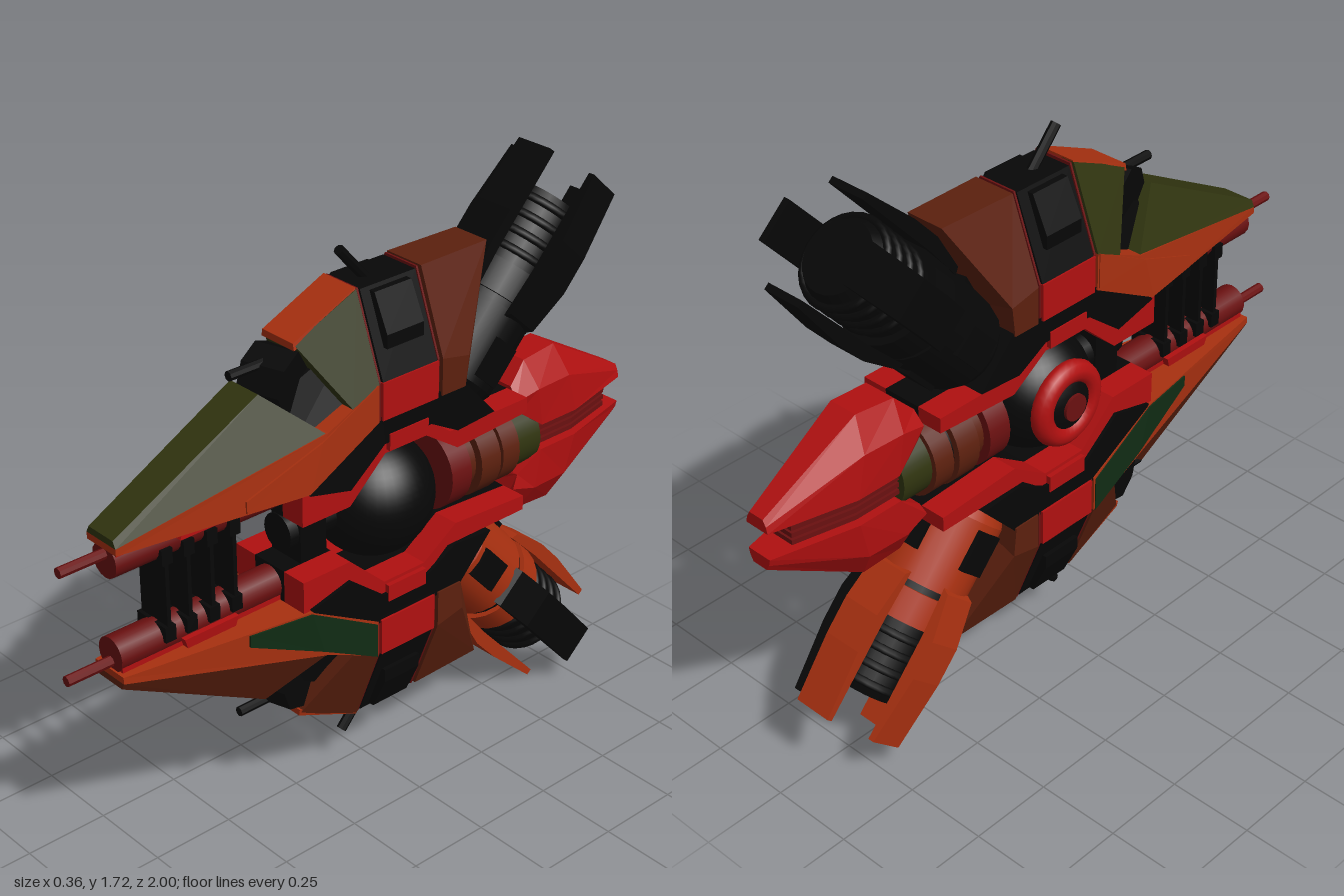
import * as THREE from 'three';

const C = { red: 0xb01010, darkRed: 0x6a1010, orange: 0xa83010, rust: 0x5c200e, olive: 0x30340f,
  green: 0x102c14, black: 0x070707 };

function add(parent, name, geometry, color, flat = true) {
  const mesh = new THREE.Mesh(geometry, new THREE.MeshStandardMaterial({ color, flatShading: flat }));
  mesh.name = name;
  parent.add(mesh);
  return mesh;
}

const box = (w, h, d, x, y, z) => new THREE.BoxGeometry(w, h, d).translate(x, y, z);

// Cylinder along z from z0 (front) to z1 (back)
const rodZ = (r, z0, z1, y = 0, sides = 16) =>
  new THREE.CylinderGeometry(r, r, Math.abs(z0 - z1), sides).rotateX(Math.PI / 2).translate(0, y, (z0 + z1) / 2);

// Side profile of [z, y] points extruded across x
function extrudeX(points, x0, x1) {
  const shape = new THREE.Shape(points.map(p => new THREE.Vector2(p[0], p[1])));
  return new THREE.ExtrudeGeometry(shape, { depth: x1 - x0, bevelEnabled: false })
    .rotateY(-Math.PI / 2).translate(x1, 0, 0);
}

// Solid through mirrored sections, ordered front to back; each row is [z, y, half width], bottom to top
function loft(sections) {
  const n = sections[0].length * 2, pos = [], idx = [];
  for (const rows of sections) {
    for (const [z, y, x] of rows) pos.push(x, y, z);
    for (const [z, y, x] of [...rows].reverse()) pos.push(-x, y, z);
  }
  const last = (sections.length - 1) * n;
  for (let s = 0; s < last; s += n)
    for (let i = 0; i < n; i++) {
      const a = s + i, b = s + (i + 1) % n;
      idx.push(a, a + n, b + n, a, b + n, b);
    }
  for (let i = 1; i < n - 1; i++) idx.push(0, i, i + 1, last, last + i + 1, last + i);
  const g = new THREE.BufferGeometry();
  g.setAttribute('position', new THREE.Float32BufferAttribute(pos, 3));
  g.setIndex(idx);
  g.computeVertexNormals();
  return g;
}

// Engine along local y with four guard fins around a ribbed core
function thruster(main, trim, patch) {
  const g = new THREE.Group();
  g.name = 'thruster';
  const cyl = (name, r0, r1, t0, t1, color) =>
    add(g, name, new THREE.CylinderGeometry(r1, r0, t1 - t0, 24).translate(0, (t0 + t1) / 2, 0), color, false);
  cyl('engineBase', 0.125, 0.14, -0.03, 0, main);
  cyl('engineBody', 0.14, 0.14, 0, 0.22, main);
  cyl('engineGroove', 0.132, 0.132, 0.22, 0.24, C.black);
  cyl('engineCollar', 0.146, 0.143, 0.24, 0.33, trim);
  cyl('engineCore', 0.122, 0.118, 0.33, 0.52, C.black);
  cyl('engineMouth', 0.118, 0.1, 0.52, 0.555, C.black);
  for (const t of [0.37, 0.42, 0.47, 0.52])
    add(g, 'coreRing', new THREE.TorusGeometry(0.12, 0.012, 8, 28).rotateX(Math.PI / 2).translate(0, t, 0),
      C.black, false);
  const fin = [[0.13, 0.2], [0.15, 0.21], [0.178, 0.34], [0.178, 0.45], [0.157, 0.65], [0.138, 0.65],
    [0.138, 0.5], [0.138, 0.34]];
  for (let i = 0; i < 4; i++) {
    add(g, 'guardFin', extrudeX(fin, -0.06, 0.06), i === 1 ? C.black : trim).rotation.y = i * Math.PI / 2;
    add(g, 'enginePanel', box(0.09, 0.12, 0.02, 0, 0.08, 0.136), patch).rotation.y = i * Math.PI / 2;
  }
  g.position.set(0, 0.272, -0.315);
  g.rotation.x = -0.741;
  return g;
}

// Upper half, measured from the centre line; the lower half is the same, flipped
function hullHalf(name, p) {
  const g = new THREE.Group();
  g.name = name;

  // Nose: lower flank and upper canopy
  add(g, 'noseFlank', loft([
    [[0.866, 0.18, 0.06], [0.866, 0.2, 0.06]],
    [[0.31, 0.18, 0.15], [0.25, 0.34, 0.152]],
    [[0.075, 0.31, 0.155], [0.075, 0.42, 0.155]]]), p.flank);
  add(g, 'noseCanopy', loft([
    [[0.866, 0.2, 0.06], [0.866, 0.22, 0.05]],
    [[0.25, 0.335, 0.15], [0.4, 0.466, 0.055]]]), p.canopy);
  add(g, 'shoulderArmour', loft([
    [[0.165, 0.378, 0.153], [0.283, 0.568, 0.06]],
    [[0.075, 0.42, 0.155], [0.075, 0.66, 0.065]]]), p.shoulder);
  add(g, 'shoulderPlate', loft([
    [[0.286, 0.552, 0.064], [0.286, 0.572, 0.06]],
    [[0.075, 0.64, 0.068], [0.075, 0.664, 0.062]]]), C.orange);
  add(g, 'sidePatch', loft([
    [[0.5, 0.185, 0.124], [0.5, 0.22, 0.123]],
    [[0.31, 0.185, 0.154], [0.27, 0.32, 0.155]],
    [[0.08, 0.315, 0.158], [0.08, 0.42, 0.158]]]), p.patch);

  // Forward gun set into the notch
  add(g, 'gunBay', loft([
    [[0.35, 0.28, 0.1], [0.35, 0.43, 0.055]],
    [[0.1, 0.34, 0.14], [0.1, 0.54, 0.07]]]), C.black);
  add(g, 'gunTurret', new THREE.CylinderGeometry(0.095, 0.095, 0.13, 8).rotateX(0.3)
    .rotateZ(Math.PI / 2).translate(0, 0.45, 0.29), C.black);
  add(g, 'gunBarrel', rodZ(0.014, 0.45, 0.3, 0.513, 8), C.black);

  // Middle band with a mast
  add(g, 'middleBand', loft([0.06, -0.135].map(z =>
    [[z, 0.3, 0.15], [z, 0.42, 0.152], [z, 0.655, 0.062]])), C.black);
  add(g, 'middlePlate', box(0.314, 0.11, 0.2, 0, 0.365, -0.037), C.red);
  add(g, 'mastHousing', loft([0.03, -0.1].map(z =>
    [[z, 0.5, 0.135], [z, 0.54, 0.135], [z, 0.645, 0.085]])), C.black);
  const mast = add(g, 'mast', new THREE.CylinderGeometry(0.015, 0.015, 0.2, 8), C.black);
  mast.position.set(0, 0.675, 0.01);
  mast.rotation.x = 0.73;
  for (const z of [0.068, -0.142])
    add(g, 'spacer', loft([z + 0.003, z - 0.003].map(s =>
      [[s, 0.31, 0.15], [s, 0.42, 0.15], [s, 0.66, 0.06]])), C.darkRed);

  // Swept rear armour
  add(g, 'rearArmour', loft([
    [[-0.153, 0.31, 0.155], [-0.153, 0.42, 0.155], [-0.153, 0.66, 0.065]],
    [[-0.24, 0.31, 0.155], [-0.25, 0.4, 0.155], [-0.4, 0.66, 0.06]]]), p.rear);

  // Frame around the core
  add(g, 'frame', extrudeX([[0.31, 0.175], [0.2, 0.3], [0.06, 0.32], [-0.24, 0.32], [-0.36, 0.19],
    [-0.22, 0.18], [-0.12, 0.235], [0.05, 0.235], [0.17, 0.14]], -0.15, 0.15), C.black);
  const arm = [[0.33, 0.18], [0.17, 0.18], [0.07, 0.25], [-0.11, 0.25], [-0.2, 0.18], [-0.5, 0.18],
    [-0.5, 0.135], [-0.23, 0.12], [-0.11, 0.2], [0.04, 0.2], [0.165, 0.085], [0.33, 0.085]];
  add(g, 'leftArm', extrudeX(arm, 0.06, 0.14), C.red);
  add(g, 'rightArm', extrudeX(arm, -0.14, -0.06), C.red);
  add(g, 'armCore', extrudeX(arm, -0.06, 0.06), C.black);
  add(g, 'archPlate', box(0.308, 0.05, 0.14, 0, 0.235, -0.035), C.red);

  // Front prong
  add(g, 'prong', rodZ(0.05, 0.86, 0.3, 0.14), C.darkRed, false);
  add(g, 'prongRail', box(0.085, 0.04, 0.54, 0, 0.165, 0.585), C.red);
  add(g, 'prongClamp', loft([
    [[0.67, 0.15, 0.065], [0.65, 0.21, 0.06]], [[0.49, 0.15, 0.065], [0.51, 0.21, 0.06]]]), C.red);
  add(g, 'prongTip', rodZ(0.015, 1, 0.85, 0.16, 8), C.darkRed);

  // Rear pod shell
  add(g, 'podShell', loft([
    [[-0.53, 0.1, 0.085], [-0.51, 0.14, 0.09], [-0.515, 0.18, 0.06]],
    [[-0.61, 0.04, 0.1], [-0.59, 0.16, 0.1], [-0.575, 0.24, 0.05]],
    [[-0.75, 0.04, 0.1], [-0.72, 0.16, 0.095], [-0.7, 0.25, 0.045]],
    [[-1, 0.04, 0.04], [-1, 0.06, 0.035], [-1, 0.078, 0.025]]]), C.red);

  g.add(thruster(p.engine, p.engineTrim, p.enginePatch));
  return g;
}

export function createModel() {
  const model = new THREE.Group();
  model.name = 'spacecraft';
  const body = new THREE.Group();
  body.name = 'body';
  body.position.y = 0.86;
  model.add(body);

  body.add(hullHalf('upperHull', { flank: C.orange, canopy: C.olive, shoulder: C.olive, patch: C.orange,
    rear: C.rust, engine: C.black, engineTrim: C.black, enginePatch: C.black }));
  const lower = hullHalf('lowerHull', { flank: C.orange, canopy: C.rust, shoulder: C.rust, patch: C.green,
    rear: C.rust, engine: C.orange, engineTrim: C.orange, enginePatch: C.black });
  lower.scale.y = -1;
  body.add(lower);

  // Core sphere with a hub on its right side
  add(body, 'core', new THREE.SphereGeometry(0.18, 40, 28).translate(0, 0, -0.035), C.black, false);
  add(body, 'hubRing', new THREE.TorusGeometry(0.095, 0.033, 10, 32).rotateY(Math.PI / 2)
    .translate(-0.145, 0, -0.035), C.red, false);
  add(body, 'hubCap', new THREE.CylinderGeometry(0.04, 0.04, 0.02, 20).rotateZ(Math.PI / 2)
    .translate(-0.174, 0, -0.035), C.darkRed, false);
  add(body, 'frontSocket', rodZ(0.055, 0.3, 0.13), C.black, false);
  add(body, 'socketBlock', box(0.12, 0.18, 0.09, 0, 0, 0.225), C.black);

  // Grille plates between the prongs
  for (const z of [0.71, 0.64, 0.565, 0.49]) {
    add(body, 'grillePlate', box(0.11, 0.26, 0.012, 0, 0, z), C.black);
    for (const s of [-1, 1]) add(body, 'grilleClip', box(0.12, 0.045, 0.034, 0, s * 0.115, z), C.black);
  }

  // Ringed neck and slats of the rear pod
  for (const [r, z0, z1, color] of [[0.125, -0.23, -0.305, C.darkRed], [0.1, -0.3, -0.36, C.rust],
    [0.125, -0.345, -0.42, C.rust], [0.105, -0.42, -0.44, C.black], [0.12, -0.435, -0.5, C.rust],
    [0.105, -0.5, -0.6, C.olive]])
    add(body, 'neckRing', rodZ(r, z0, z1, 0, 28), color, false);
  for (const y of [-0.022, 0, 0.022])
    add(body, 'podSlat', loft([
      [[-0.55, y - 0.007, 0.085], [-0.55, y + 0.007, 0.085]],
      [[-0.75, y - 0.007, 0.085], [-0.75, y + 0.007, 0.085]],
      [[-0.93, y - 0.007, 0.045], [-0.93, y + 0.007, 0.045]]]), C.darkRed);
  add(body, 'podSpine', box(0.05, 0.1, 0.32, 0, 0, -0.76), C.black);
  return model;
}
